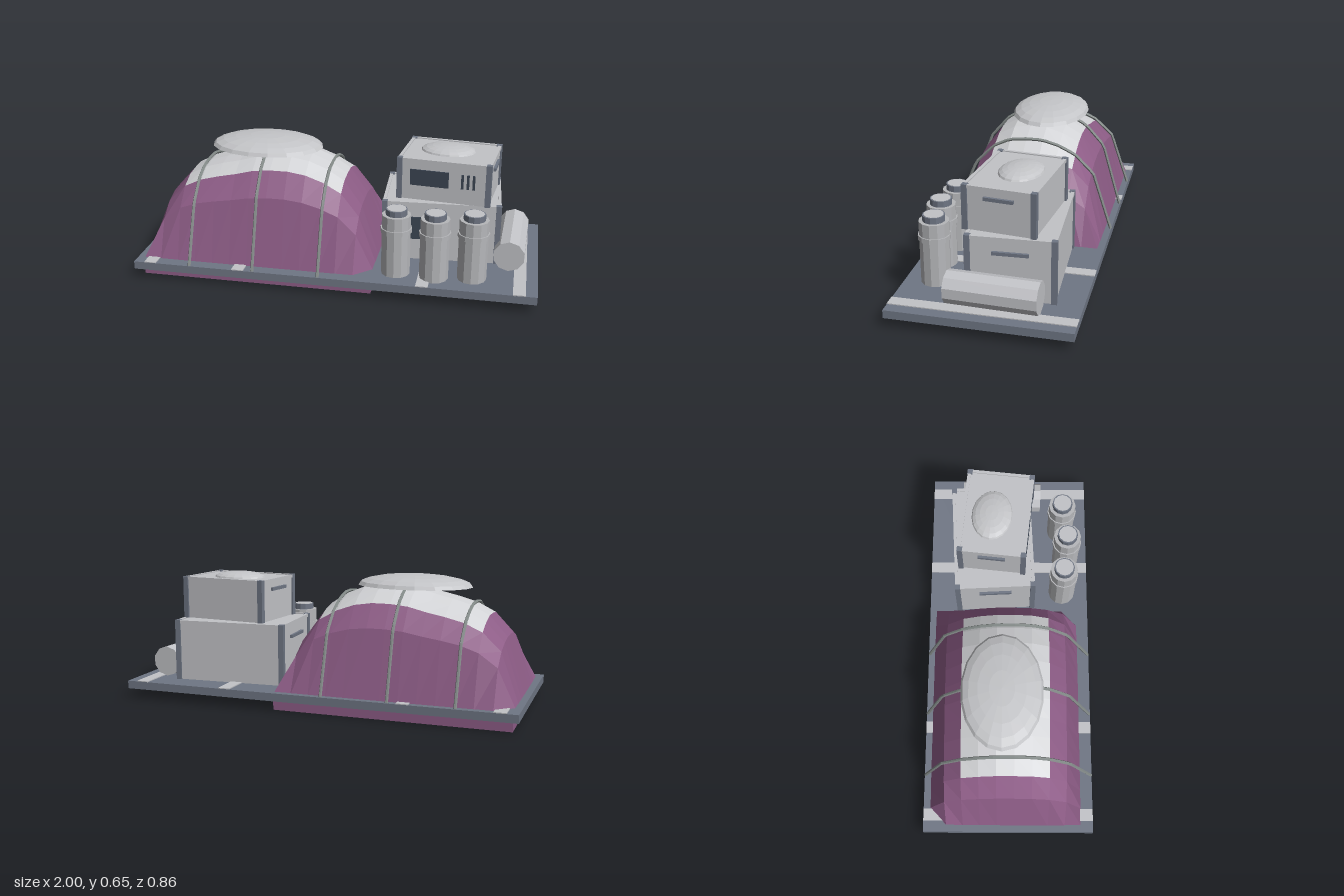
import * as THREE from 'three';

const mat = (name, color, extra = {}) => {
  const m = new THREE.MeshStandardMaterial({ color, flatShading: true, ...extra });
  m.name = name;
  return m;
};

// height factors of the covered load along x and along z
const FX = [0, 0.56, 0.75, 0.84, 0.89, 0.93, 0.98, 1, 1, 0.97, 0.9, 0.79, 0.54, 0];
const FZ = [0, 0.65, 0.86, 0.95, 1, 1, 0.98, 0.89, 0.67, 0];
const X0 = -0.97, DX = 0.09, Z0 = -0.4, DZ = 0.0858, RIM = 0.08;

const sample = (list, t) => {
  const i = Math.max(0, Math.min(list.length - 2, Math.floor(t)));
  return THREE.MathUtils.lerp(list[i], list[i + 1], THREE.MathUtils.clamp(t - i, 0, 1));
};
const loadHeight = (x, z) => RIM + 0.52 * sample(FX, (x - X0) / DX) * sample(FZ, (z - Z0) / DZ);

export function createModel() {
  const model = new THREE.Group();
  model.name = 'cargoPallet';

  const slate = mat('slate', 0x6f7684);
  const purple = mat('purple cloth', 0x8e5d87);
  const white = mat('white cloth', 0xd2d3d6);
  const light = mat('light grey', 0xc2c3c7);
  const shell = mat('pale lid', 0xc4c5c8, { side: THREE.DoubleSide });
  const can = mat('canister grey', 0xb6b7ba);
  const strapGrey = mat('strap grey', 0x858c8a);
  const dark = mat('dark panel', 0x3c4654);

  const add = (parent, name, geo, material, x = 0, y = 0, z = 0) => {
    const m = new THREE.Mesh(geo, material);
    m.name = name;
    m.position.set(x, y, z);
    parent.add(m);
    return m;
  };
  const box = (parent, name, material, w, h, d, x, y, z) =>
    add(parent, name, new THREE.BoxGeometry(w, h, d), material, x, y, z);

  // pallet deck with cross slats
  box(model, 'deck', slate, 2, 0.04, 0.86, 0, 0.07, 0);
  for (const x of [-0.915, -0.46, 0.455, 0.915])
    box(model, 'slat', light, 0.06, 0.007, 0.86, x, 0.091, 0);

  // covered load: base block and lumpy cloth, white over the middle
  box(model, 'loadBase', purple, 1.17, RIM, 0.772, -0.385, RIM / 2, -0.014);
  const sides = [], top = [];
  const corner = (i, j) => {
    const x = X0 + i * DX, z = Z0 + j * DZ;
    return [x, RIM + 0.52 * FX[i] * FZ[j], z];
  };
  for (let i = 0; i < 13; i++) {
    for (let j = 0; j < 9; j++) {
      const a = corner(i, j), b = corner(i, j + 1), c = corner(i + 1, j + 1), d = corner(i + 1, j);
      const inner = i > 1 && i < 11 && j > 1 && j < 7;
      (inner ? top : sides).push(...a, ...b, ...d, ...b, ...c, ...d);
    }
  }
  for (const [name, list, m] of [['coverSides', sides, purple], ['coverTop', top, white]]) {
    const g = new THREE.BufferGeometry();
    g.setAttribute('position', new THREE.Float32BufferAttribute(list, 3));
    g.computeVertexNormals();
    add(model, name, g, m);
  }

  // shallow dome used on the load and on the upper crate
  const dome = (parent, name, rx, h, rz, x, y, z) => {
    const g = new THREE.SphereGeometry(1, 18, 5, 0, Math.PI * 2, 0, Math.PI / 2);
    g.scale(rx, h, rz);
    return add(parent, name, g, shell, x, y, z);
  };
  dome(model, 'loadDome', 0.29, 0.057, 0.2, -0.41, 0.597, -0.03);

  // straps over the load
  for (const x of [-0.71, -0.385, -0.055]) {
    const pts = [new THREE.Vector3(x, 0.09, -0.425)];
    for (let j = 1; j < 9; j++) {
      const z = Z0 + j * DZ;
      const out = j === 1 ? -0.012 : j === 8 ? 0.012 : 0;
      pts.push(new THREE.Vector3(x, loadHeight(x, z) + 0.012, z + out));
    }
    pts.push(new THREE.Vector3(x, 0.09, 0.425));
    const path = new THREE.CurvePath();
    for (let k = 1; k < pts.length; k++) path.add(new THREE.LineCurve3(pts[k - 1], pts[k]));
    add(model, 'strap', new THREE.TubeGeometry(path, 40, 0.008, 6), strapGrey);
  }

  // crates with corner posts, top rails, side handles, a screen and vents
  const crate = (name, w, h, d, x, y, z, turn) => {
    const g = new THREE.Group();
    g.name = name;
    g.position.set(x, y, z);
    g.rotation.y = turn;
    box(g, 'crateBody', light, w - 0.016, h - 0.006, d - 0.016, 0, h / 2 - 0.003, 0);
    for (const sx of [-1, 1]) {
      for (const sz of [-1, 1])
        box(g, 'cornerPost', slate, 0.027, h, 0.027, sx * (w / 2 - 0.0135), h / 2, sz * (d / 2 - 0.0135));
      box(g, 'sideRail', light, 0.016, 0.016, d - 0.05, sx * (w / 2 - 0.01), h - 0.009, 0);
      box(g, 'endRail', light, w - 0.05, 0.016, 0.016, 0, h - 0.009, sx * (d / 2 - 0.01));
      box(g, 'handle', slate, 0.016, 0.016, d * 0.4, sx * (w / 2 - 0.003), h * 0.75, 0);
    }
    const face = d / 2 - 0.006;
    box(g, 'screen', dark, w * 0.41, h * 0.38, 0.009, -w * 0.15, h * 0.55, face);
    for (let k = 0; k < 3; k++)
      box(g, 'vent', dark, 0.012, h * 0.34, 0.009, w * (0.2 + k * 0.06), h * 0.55, face);
    model.add(g);
    return g;
  };
  crate('lowerCrate', 0.59, 0.31, 0.42, 0.5, 0.09, -0.085, 0.05);
  const upper = crate('upperCrate', 0.47, 0.215, 0.35, 0.53, 0.4, -0.065, -0.105);
  dome(upper, 'crateDome', 0.14, 0.033, 0.105, -0.015, 0.207, -0.02);

  // canisters with a collar and a cap
  for (const [x, z] of [[0.31, 0.29], [0.5, 0.31], [0.683, 0.285]]) {
    const g = new THREE.Group();
    g.name = 'canister';
    g.position.set(x, 0.09, z);
    const ring = (n, m, r, h, y) => add(g, n, new THREE.CylinderGeometry(r, r, h, 12), m, 0, y + h / 2, 0);
    ring('canisterBody', can, 0.071, 0.31, 0);
    ring('collar', can, 0.077, 0.024, 0.219);
    ring('cap', slate, 0.053, 0.029, 0.31);
    ring('capTop', light, 0.047, 0.004, 0.337);
    model.add(g);
  }

  // rolled bundle lying at the end
  const roll = new THREE.CylinderGeometry(0.078, 0.078, 0.43, 10);
  roll.rotateX(Math.PI / 2);
  add(model, 'roll', roll, light, 0.862, 0.167, -0.04).rotation.y = -0.035;

  return model;
}
